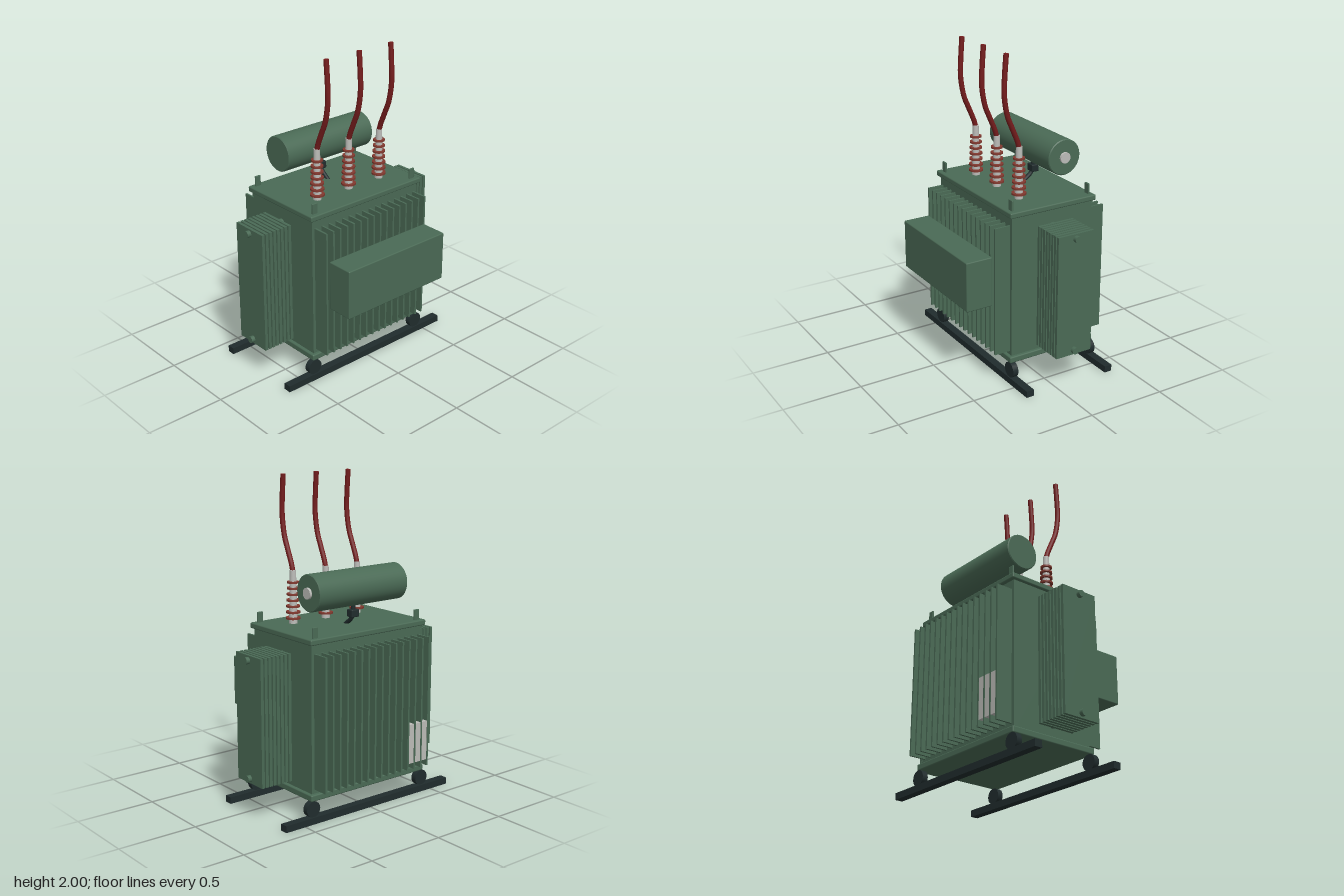
import * as THREE from 'three';
import { RoundedBoxGeometry } from 'three/addons/geometries/RoundedBoxGeometry.js';

const paint = (name, color) => {
  const m = new THREE.MeshStandardMaterial({ color });
  m.name = name;
  return m;
};

export function createModel() {
  const model = new THREE.Group();
  model.name = 'transformer';
  const green = paint('tank green', 0x4a6a55);
  const dark = paint('undercarriage dark', 0x202c2d);
  const grey = paint('metal grey', 0xbcbcb8);
  const red = paint('cable red', 0x741c1c);
  const brown = paint('insulator brown', 0x82392f);

  const add = (name, geometry, material, x, y, z, parent = model) => {
    const mesh = new THREE.Mesh(geometry, material);
    mesh.name = name;
    mesh.position.set(x, y, z);
    parent.add(mesh);
    return mesh;
  };
  // box given by its limits on each axis
  const box = (name, mat, [x0, x1], [y0, y1], [z0, z1], round = 0, parent = model) => {
    const size = [x1 - x0, y1 - y0, z1 - z0];
    const geo = round ? new RoundedBoxGeometry(...size, 2, round) : new THREE.BoxGeometry(...size);
    return add(name, geo, mat, (x0 + x1) / 2, (y0 + y1) / 2, (z0 + z1) / 2, parent);
  };
  const rodX = (r, length, seg = 24) => new THREE.CylinderGeometry(r, r, length, seg).rotateZ(Math.PI / 2);
  const rodZ = (r, length, seg = 24) => new THREE.CylinderGeometry(r, r, length, seg).rotateX(Math.PI / 2);

  // tank with rim and lid
  box('tank', green, [-0.425, 0.425], [0.15, 1.09], [-0.372, 0.19]);
  box('bottomRim', green, [-0.445, 0.445], [0.135, 0.175], [-0.395, 0.21], 0.008);
  box('lid', green, [-0.445, 0.445], [1.075, 1.11], [-0.395, 0.21], 0.008);

  // cooling fins on front and back
  const fins = new THREE.Group();
  fins.name = 'coolingFins';
  model.add(fins);
  for (let i = 0; i < 16; i++) {
    const x = -0.4 + i * 0.8 / 15;
    box('frontFin', green, [x - 0.006, x + 0.006], [0.2, 1.02], [0.18, 0.294], 0, fins);
    box('backFin', green, [x - 0.006, x + 0.006], [0.2, 1.02], [-0.478, -0.36], 0, fins);
  }
  // pale plate set between the back fins
  box('ratingPlate', grey, [-0.4, -0.24], [0.24, 0.49], [-0.476, -0.37]);

  // control cabinet and its brackets
  box('cabinet', green, [-0.39, 0.39], [0.525, 0.84], [0.302, 0.477], 0.007);
  for (const x of [-0.27, -0.09, 0.09, 0.265])
    add('cabinetBracket', rodZ(0.022, 0.13), grey, x, 0.68, 0.245);

  // side radiators
  for (const side of [-1, 1]) {
    const radiator = new THREE.Group();
    radiator.name = side > 0 ? 'leftRadiator' : 'rightRadiator';
    model.add(radiator);
    for (let i = 0; i < 8; i++)
      add('radiatorPlate', new THREE.BoxGeometry(0.019, 0.78, 0.247), green,
        side * (0.464 + i * 0.0282), 0.61, -0.094, radiator);
    for (const y of [0.25, 0.97])
      add('radiatorPipe', rodX(0.021, 0.28), green, side * 0.555, y, -0.094, radiator);
  }

  // rails and wheels
  for (const z of [0.192, -0.383]) {
    box('rail', dark, [-0.64, 0.64], [0, 0.042], [z - 0.025, z + 0.025]);
    for (const x of [-0.43, 0.43])
      add('wheel', rodZ(0.049, 0.036), dark, x, 0.088, z > 0 ? 0.192 : -0.377);
  }

  // lifting lugs
  for (const x of [-0.393, 0.393]) for (const z of [-0.364, 0.177])
    box('liftingLug', green, [x - 0.02, x + 0.02], [1.1, 1.175], [z - 0.006, z + 0.006], 0.004);

  // oil conservator with rounded edges, laid along x
  const drum = [[0, -0.337], [0.107, -0.337], [0.112, -0.332], [0.112, 0.332], [0.107, 0.337], [0, 0.337]]
    .flatMap(([r, y], i, a) => {
      const p = new THREE.Vector2(r, y);
      return i > 0 && i < a.length - 1 ? [p, p.clone()] : [p];
    });
  add('conservator', new THREE.LatheGeometry(drum, 40).rotateZ(-Math.PI / 2), green, 0, 1.343, -0.232);
  add('oilGauge', rodX(0.034, 0.03), grey, 0.337, 1.343, -0.232);

  // relay and pipe below the conservator
  box('relay', dark, [-0.03, 0.03], [1.16, 1.207], [-0.257, -0.208], 0.006);
  add('relayNeck', new THREE.CylinderGeometry(0.014, 0.014, 0.06, 16), dark, 0, 1.22, -0.232);
  const elbow = new THREE.CatmullRomCurve3([
    new THREE.Vector3(0, 1.175, -0.232), new THREE.Vector3(0, 1.145, -0.212), new THREE.Vector3(0, 1.1, -0.155)]);
  add('relayPipe', new THREE.TubeGeometry(elbow, 12, 0.013, 12), dark, 0, 0, 0);

  // bushings with insulator discs and cables
  const path = new THREE.CatmullRomCurve3([[1.42, 0.032], [1.46, 0.042], [1.55, 0.08], [1.63, 0.113],
    [1.76, 0.135], [1.88, 0.131], [2, 0.122]].map(([y, z]) => new THREE.Vector3(0, y, z)));
  for (const x of [-0.25, 0, 0.25]) {
    const bushing = new THREE.Group();
    bushing.name = 'bushing';
    bushing.position.x = x;
    model.add(bushing);
    add('bushingCore', new THREE.CylinderGeometry(0.019, 0.026, 0.33, 24), grey, 0, 1.27, 0.032, bushing);
    for (let i = 0; i < 7; i++) {
      const r = 0.045 - i * 0.0015;
      add('insulatorDisc', new THREE.CylinderGeometry(r, r, 0.011, 28), brown, 0, 1.142 + i * 0.0365, 0.032, bushing);
    }
    add('cable', new THREE.TubeGeometry(path, 32, 0.016, 14), red, 0, 0, 0, bushing);
    const end = path.getTangent(1);
    const cap = add('cableEnd', new THREE.CircleGeometry(0.016, 14), red, 0, 2, 0.122, bushing);
    cap.quaternion.setFromUnitVectors(new THREE.Vector3(0, 0, 1), end);
  }
  return model;
}
